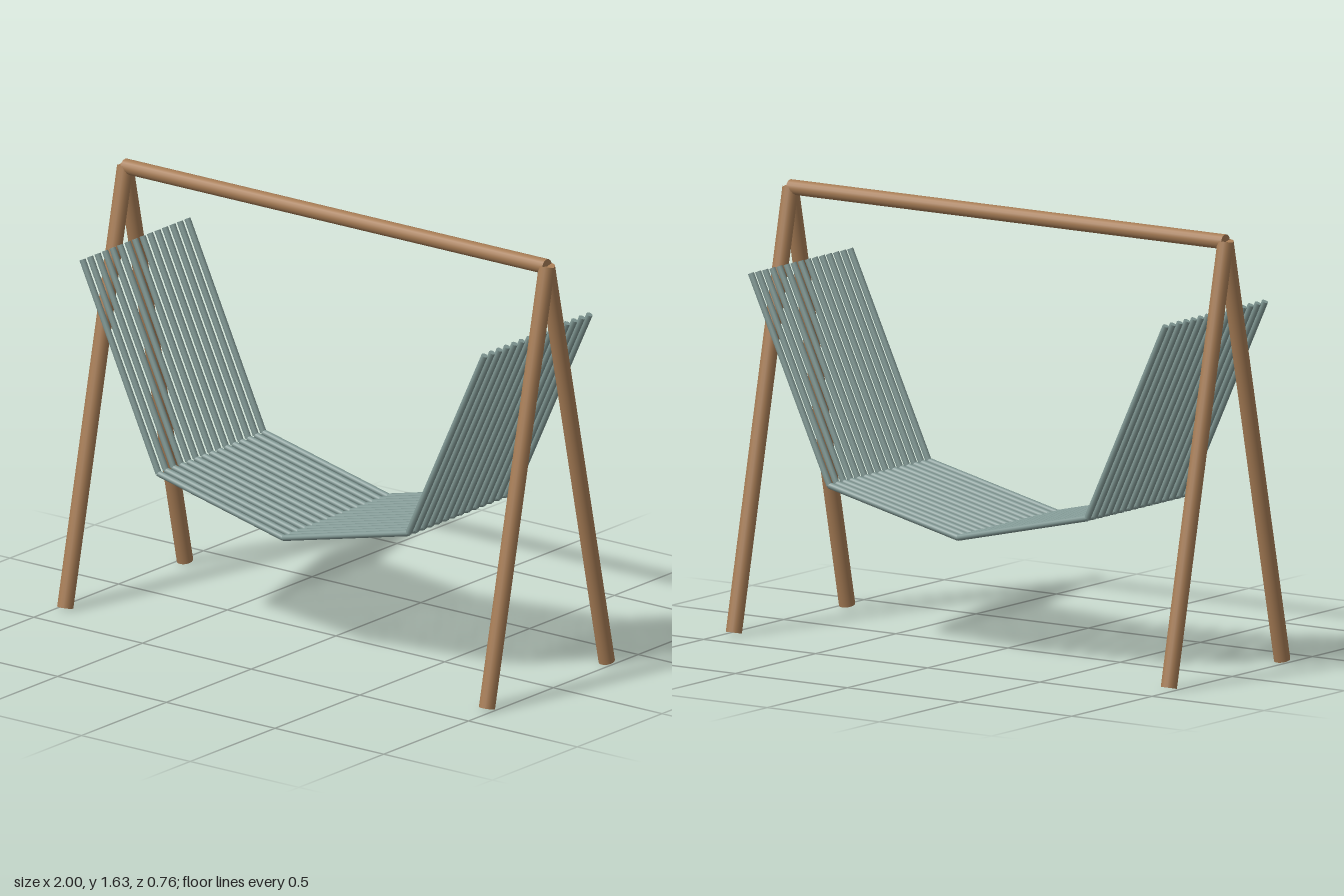
import * as THREE from 'three';

const wood = new THREE.MeshStandardMaterial({ name: 'brown wood', color: 0xa67c55 });
const cord = new THREE.MeshStandardMaterial({ name: 'grey green cord', color: 0x7f9692 });

// round bar between two points
function bar(name, a, b, radius, sides, material) {
  const from = new THREE.Vector3(...a), to = new THREE.Vector3(...b);
  const dir = to.clone().sub(from);
  const mesh = new THREE.Mesh(new THREE.CylinderGeometry(radius, radius, dir.length(), sides), material);
  mesh.name = name;
  mesh.position.copy(from).add(to).multiplyScalar(0.5);
  mesh.quaternion.setFromUnitVectors(new THREE.Vector3(0, 1, 0), dir.normalize());
  return mesh;
}

export function createModel() {
  const model = new THREE.Group();
  model.name = 'hammockSwing';

  // A-shaped frame: top beam and four splayed legs
  const frame = new THREE.Group();
  frame.name = 'frame';
  frame.add(bar('topBeam', [-0.97, 1.598, 0], [0.97, 1.598, 0], 0.028, 16, wood));
  for (const x of [-0.97, 0.97])
    for (const side of [1, -1])
      frame.add(bar('leg', [x, 0.0065, 0.353 * side], [x, 1.598, 0], 0.03, 16, wood));
  model.add(frame);

  // hanging seat: parallel strands, each of four straight pieces
  const seat = new THREE.Group();
  seat.name = 'hammockSeat';
  const path = [[-0.925, 1.329], [-0.575, 0.584], [0, 0.452], [0.575, 0.584], [0.925, 1.329]];
  const strands = 15, halfWidth = 0.309;
  for (let i = 0; i < strands; i++) {
    const z = -halfWidth + (2 * halfWidth * i) / (strands - 1);
    for (let k = 0; k < path.length - 1; k++)
      seat.add(bar('strand', [...path[k], z], [...path[k + 1], z], 0.012, 10, cord));
  }
  model.add(seat);
  return model;
}
